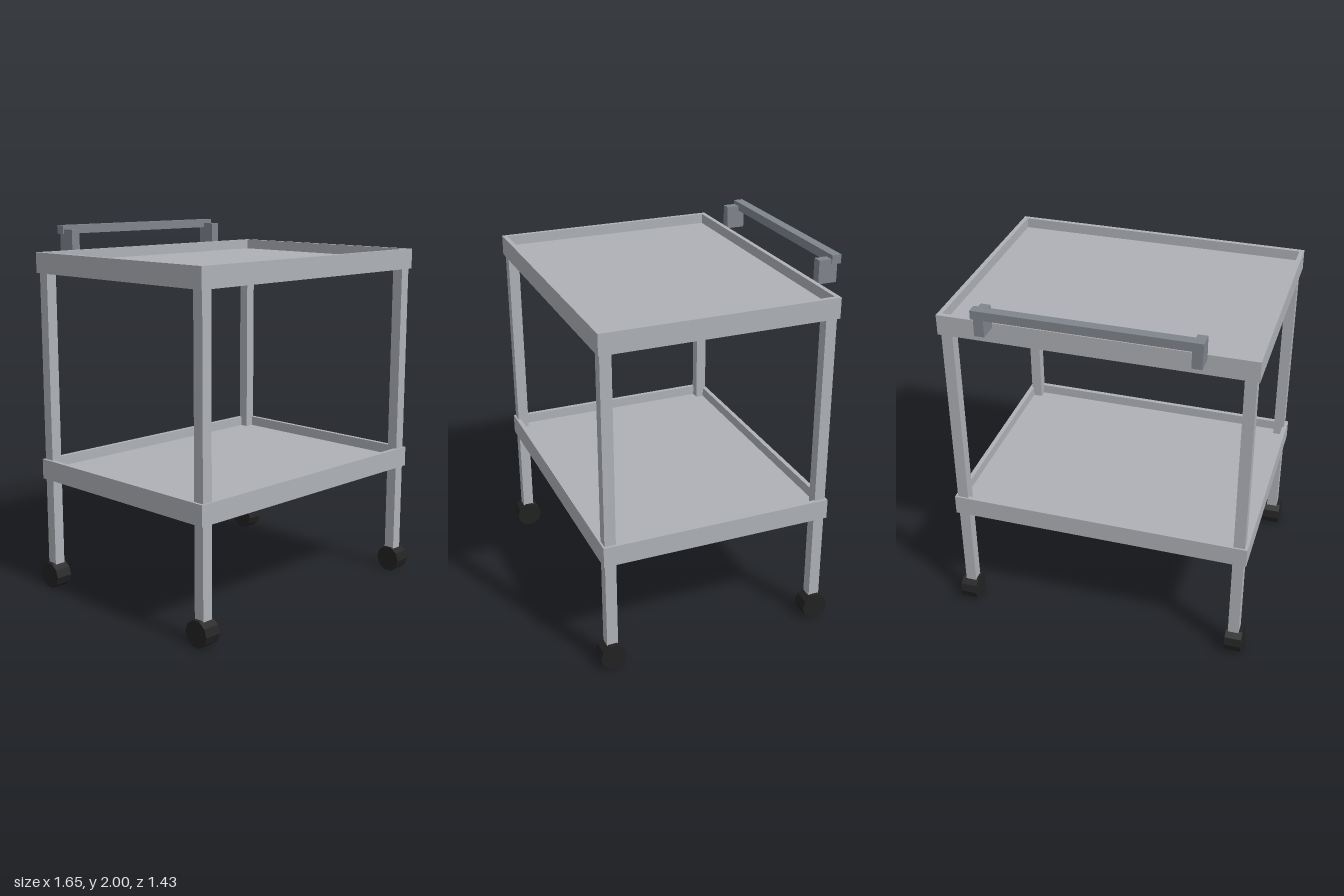
import * as THREE from 'three';

export function createModel() {
  const cart = new THREE.Group();
  cart.name = 'utilityCart';

  const material = (name, color) => {
    const m = new THREE.MeshStandardMaterial({ color });
    m.name = name;
    return m;
  };
  const steel = material('paleSteel', 0xaeb1b6);
  const darkSteel = material('darkSteel', 0x80858c);
  const rubber = material('blackRubber', 0x222222);

  const add = (name, geometry, mat, x, y, z) => {
    const mesh = new THREE.Mesh(geometry, mat);
    mesh.name = name;
    mesh.position.set(x, y, z);
    cart.add(mesh);
  };
  const box = (w, h, d) => new THREE.BoxGeometry(w, h, d);

  // Trays: a floor slab with a thin raised rim
  const halfW = 0.82, halfD = 0.63, midZ = 0.05, wall = 0.025;
  const rectangle = (Type, a, b) => new Type([
    new THREE.Vector2(-a, -b), new THREE.Vector2(a, -b),
    new THREE.Vector2(a, b), new THREE.Vector2(-a, b),
  ]);
  const rimShape = rectangle(THREE.Shape, halfW, halfD);
  rimShape.holes.push(rectangle(THREE.Path, halfW - wall, halfD - wall));
  const rim = new THREE.ExtrudeGeometry(rimShape, { depth: 0.055, bevelEnabled: false });
  rim.rotateX(-Math.PI / 2);

  for (const [name, bottom] of [['lowerTray', 0.625], ['upperTray', 1.76]]) {
    add(name + 'Floor', box(halfW * 2, 0.055, halfD * 2), steel, 0, bottom + 0.0275, midZ);
    add(name + 'Rim', rim, steel, 0, bottom + 0.055, midZ);
  }

  // Legs and ten-sided wheels at each corner
  const legGeometry = box(0.06, 1.68, 0.06);
  const wheelGeometry = new THREE.CylinderGeometry(0.073, 0.073, 0.093, 10).toNonIndexed();
  wheelGeometry.rotateZ(Math.PI / 2);
  wheelGeometry.computeVertexNormals();
  for (const side of [-1, 1]) {
    for (const [end, z] of [['front', 0.64], ['back', -0.54]]) {
      add(end + 'Leg', legGeometry, steel, side * 0.775, 0.95, z);
      add(end + 'Wheel', wheelGeometry, rubber, side * 0.78, 0.07, z);
    }
    // Handle brackets behind the upper tray
    add('handleBracket', box(0.052, 0.125, 0.104), darkSteel, side * 0.54, 1.916, -0.644);
  }

  // Push bar
  add('handleBar', box(1.146, 0.047, 0.052), darkSteel, 0, 1.9765, -0.687);

  return cart;
}
